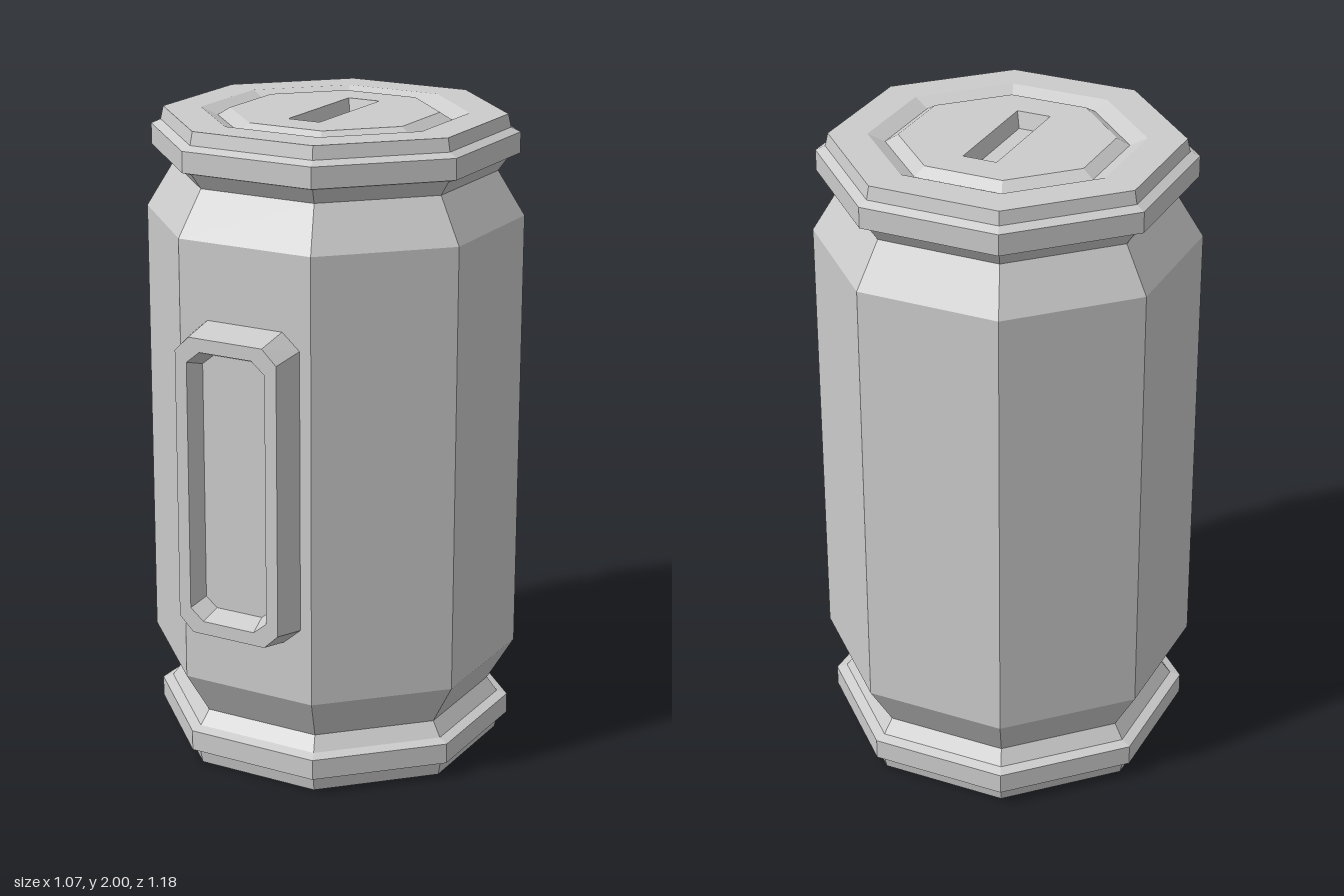
import * as THREE from 'three';

const material = new THREE.MeshStandardMaterial({ color: 0xcccccc, flatShading: true });

// Counter-clockwise rectangle in XY with corners cut by cx, cy
function cutRect(hx, hy, cx, cy) {
  return [
    [hx, -hy + cy], [hx, hy - cy], [hx - cx, hy], [-hx + cx, hy],
    [-hx, hy - cy], [-hx, -hy + cy], [-hx + cx, -hy], [hx - cx, -hy],
  ].map(([x, y]) => new THREE.Vector2(x, y));
}

// Regular octagon with apothem a
function octagon(a) {
  const cut = a * (1 - Math.tan(Math.PI / 8));
  return cutRect(a, a, cut, cut);
}

function rect(hx, hy) {
  return [[hx, -hy], [hx, hy], [-hx, hy], [-hx, -hy]].map(([x, y]) => new THREE.Vector2(x, y));
}

function mesh(name, geometry) {
  const m = new THREE.Mesh(geometry, material);
  m.name = name;
  return m;
}

// Flat-sided skin through rings given as { points, z }
function loft(rings) {
  const pos = [];
  for (let i = 0; i < rings.length - 1; i++) {
    const lo = rings[i], hi = rings[i + 1], n = lo.points.length;
    for (let j = 0; j < n; j++) {
      const k = (j + 1) % n;
      const a = [lo.points[j].x, lo.points[j].y, lo.z];
      const b = [lo.points[k].x, lo.points[k].y, lo.z];
      const c = [hi.points[k].x, hi.points[k].y, hi.z];
      const d = [hi.points[j].x, hi.points[j].y, hi.z];
      pos.push(...a, ...b, ...c, ...a, ...c, ...d);
    }
  }
  const g = new THREE.BufferGeometry();
  g.setAttribute('position', new THREE.Float32BufferAttribute(pos, 3));
  g.computeVertexNormals();
  return g;
}

// Flat face at height z, optionally with a hole
function face(points, z, hole) {
  const shape = new THREE.Shape(points);
  if (hole) shape.holes.push(new THREE.Path(hole));
  return new THREE.ShapeGeometry(shape).translate(0, 0, z);
}

// Raised end panel with a sunken slot, facing local +z
function endPanel(name) {
  const g = new THREE.Group();
  g.name = name;
  const slot = rect(0.053, 0.185), slotFloor = rect(0.042, 0.173);
  g.add(mesh('panel', face(octagon(0.293), 1, slot)));
  g.add(mesh('slotWalls', loft([{ points: slot, z: 1 }, { points: slotFloor, z: 0.95 }])));
  g.add(mesh('slotFloor', face(slotFloor, 0.95)));
  return g;
}

export function createModel() {
  const model = new THREE.Group();
  model.name = 'canister';

  // The canister lies along local z, then is stood upright
  const canister = new THREE.Group();
  canister.name = 'canisterBody';
  canister.rotation.x = -Math.PI / 2;
  canister.position.set(0, 1, -0.055);
  model.add(canister);

  // Upper half from shoulder to end panel: [apothem, height above the middle]
  const half = [
    [0.533, 0.692], [0.457, 0.828], [0.487, 0.873], [0.517, 0.883], [0.517, 0.947],
    [0.49, 0.96], [0.482, 1], [0.375, 1], [0.328, 0.977], [0.293, 1],
  ];
  const profile = [...half.map(([r, z]) => [r, -z]).reverse(), ...half];
  canister.add(mesh('shell', loft(profile.map(([r, z]) => ({ points: octagon(r), z })))));

  // Matching panels at both ends
  const top = endPanel('topPanel');
  const bottom = endPanel('bottomPanel');
  bottom.rotation.x = Math.PI;
  canister.add(top, bottom);

  // Framed plate on the front with a recessed centre
  const plate = new THREE.Group();
  plate.name = 'frontPlate';
  plate.position.set(0, 0.976, 0);
  const floor = cutRect(0.115, 0.395, 0.037, 0.03);
  plate.add(mesh('plateFrame', loft([
    { points: cutRect(0.184, 0.483, 0.058, 0.05), z: 0.476 },
    { points: cutRect(0.17, 0.46, 0.047, 0.045), z: 0.588 },
    { points: cutRect(0.131, 0.419, 0.044, 0.036), z: 0.588 },
    { points: floor, z: 0.525 },
  ])));
  plate.add(mesh('plateRecess', face(floor, 0.525)));
  model.add(plate);

  return model;
}
